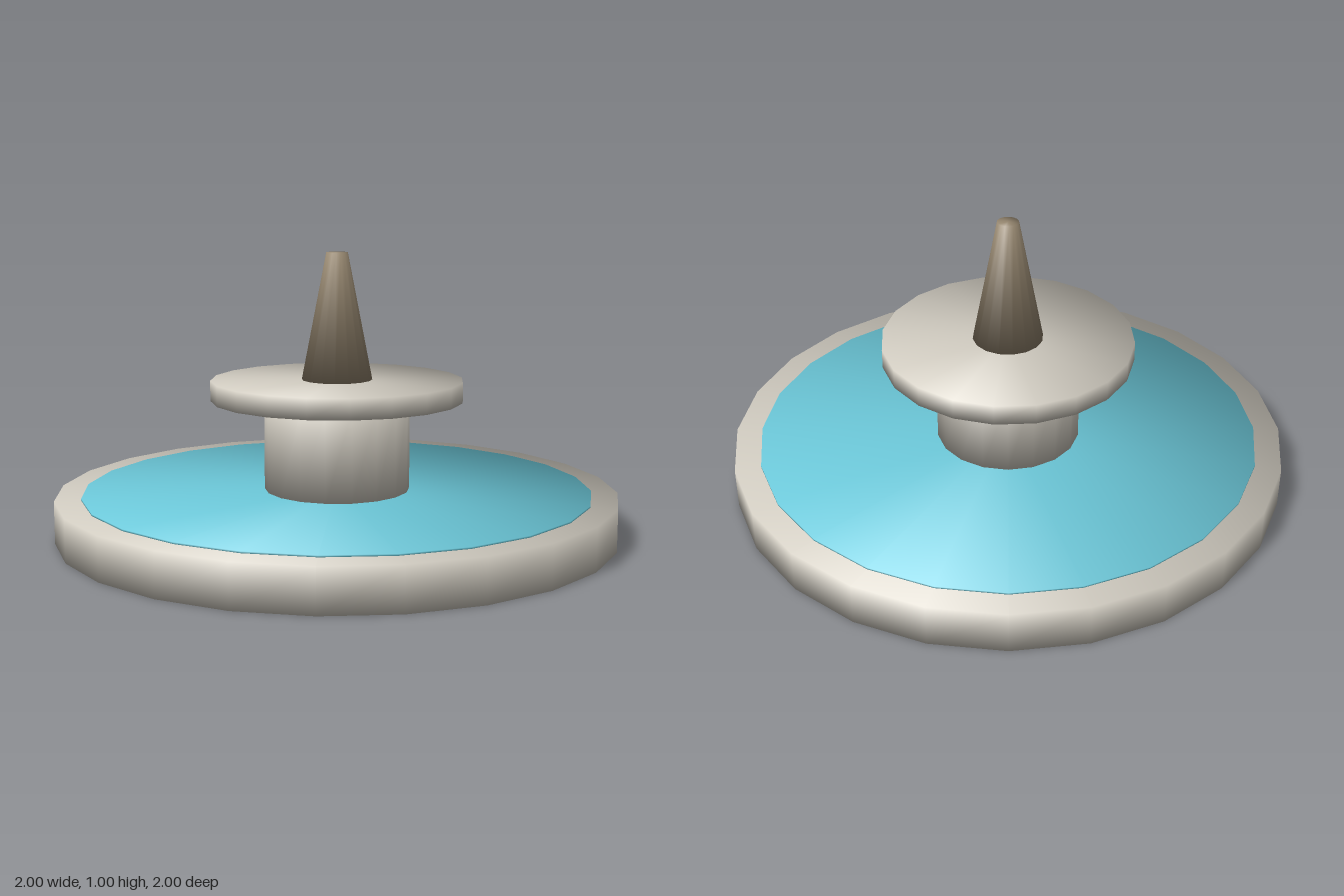
import * as THREE from 'three';

const material = (name, color) => {
  const m = new THREE.MeshStandardMaterial({ color });
  m.name = name;
  return m;
};

// Capped round part between two heights, shaded smoothly over its rims.
function roundPart(name, mat, bottomRadius, topRadius, y0, y1, sides) {
  const geo = new THREE.CylinderGeometry(topRadius, bottomRadius, y1 - y0, sides);
  const pos = geo.attributes.position;
  const normal = geo.attributes.normal;
  for (let i = 0; i < pos.count; i++) {
    const up = Math.sign(pos.getY(i));
    const r = up > 0 ? topRadius : bottomRadius;
    // rim normals lean halfway between the wall and the cap
    normal.setXYZ(i, pos.getX(i) / r * 0.707, up * 0.707, pos.getZ(i) / r * 0.707);
  }
  const mesh = new THREE.Mesh(geo, mat);
  mesh.name = name;
  mesh.position.y = (y0 + y1) / 2;
  return mesh;
}

export function createModel() {
  const stone = material('pale stone', 0xd0cbc0);
  const water = material('water blue', 0x6cc8d9);
  const bronze = material('weathered bronze', 0x968770);

  const fountain = new THREE.Group();
  fountain.name = 'fountain';
  fountain.add(
    roundPart('basin', stone, 1, 1, 0, 0.15, 24),
    roundPart('waterSurface', water, 0.907, 0.907, 0.149, 0.156, 24),
    roundPart('column', stone, 0.26, 0.26, 0.15, 0.48, 18),
    roundPart('upperDish', stone, 0.45, 0.45, 0.478, 0.55, 20),
    roundPart('spire', bronze, 0.126, 0.038, 0.548, 1, 16),
  );
  return fountain;
}
